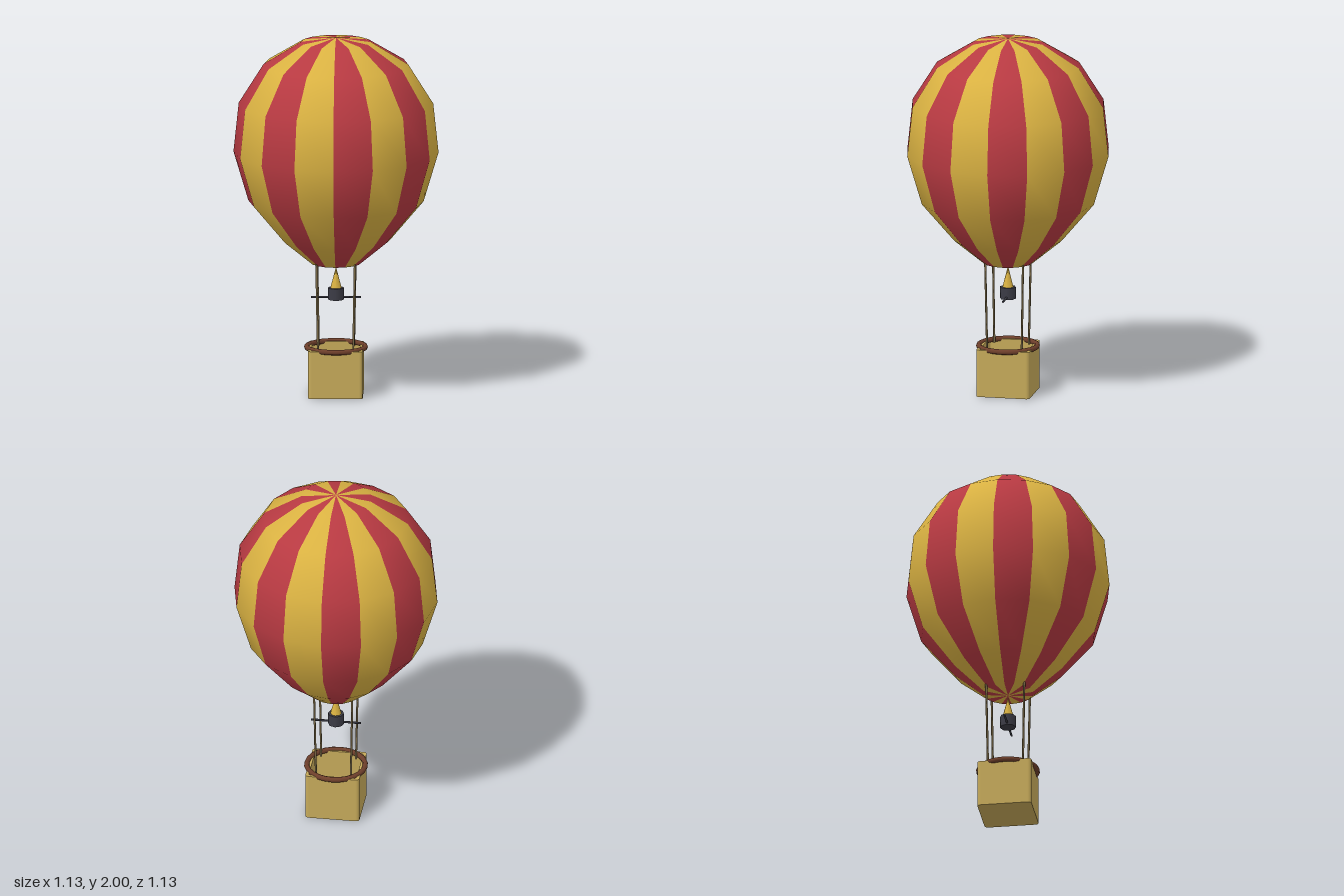
import * as THREE from 'three';

const mat = (name, color, side = THREE.FrontSide) => {
  const m = new THREE.MeshStandardMaterial({ color, side });
  m.name = name;
  return m;
};

// Square outline with rounded corners
function roundedSquare(Type, half, r) {
  const s = new Type();
  for (let i = 0; i < 4; i++) {
    const a = i * Math.PI / 2;
    const cx = (half - r) * (i === 0 || i === 3 ? 1 : -1);
    const cy = (half - r) * (i < 2 ? 1 : -1);
    s.absarc(cx, cy, r, a, a + Math.PI / 2, false);
  }
  s.closePath();
  return s;
}

export function createModel() {
  const group = new THREE.Group();
  const red = mat('red fabric', 0xb83a42);
  const yellow = mat('yellow fabric', 0xdab242);
  const wicker = mat('wicker', 0xc6aa5a);
  const brown = mat('leather brown', 0x6e3f2b);
  const rope = mat('rope', 0x7d6c48);
  const metal = mat('dark metal', 0x3c3c46);

  const add = (name, geometry, material, x = 0, y = 0, z = 0) => {
    const mesh = new THREE.Mesh(geometry, material);
    mesh.name = name;
    mesh.position.set(x, y, z);
    group.add(mesh);
    return mesh;
  };

  // Striped envelope: one material group per gore
  const profile = [
    [0, 0.722], [0.138, 0.735], [0.3, 0.868], [0.482, 1.083], [0.564, 1.358],
    [0.535, 1.632], [0.398, 1.85], [0.193, 1.975], [0, 2],
  ].map(([r, y]) => new THREE.Vector2(r, y));
  const gores = 16;
  const envelope = new THREE.LatheGeometry(profile, gores);
  const perGore = (profile.length - 1) * 6;
  envelope.clearGroups();
  for (let i = 0; i < gores; i++) envelope.addGroup(i * perGore, perGore, i % 2);
  add('envelope', envelope, [red, yellow]);

  // Open basket with rounded upright corners
  const wall = roundedSquare(THREE.Shape, 0.15, 0.02);
  wall.holes.push(roundedSquare(THREE.Path, 0.132, 0.012));
  const walls = new THREE.ExtrudeGeometry(wall, { depth: 0.265, bevelEnabled: false, curveSegments: 3 });
  add('basketWalls', walls.rotateX(-Math.PI / 2), wicker);
  const floor = new THREE.ExtrudeGeometry(roundedSquare(THREE.Shape, 0.14, 0.012),
    { depth: 0.02, bevelEnabled: false, curveSegments: 3 });
  add('basketFloor', floor.rotateX(-Math.PI / 2), wicker);

  // Round padded rim
  add('basketRim', new THREE.TorusGeometry(0.161, 0.015, 8, 24).rotateX(Math.PI / 2), brown, 0, 0.263, 0);

  // Four ropes, spreading slightly upwards
  const up = new THREE.Vector3(0, 1, 0);
  for (const sx of [-1, 1]) for (const sz of [-1, 1]) {
    const a = new THREE.Vector3(sx * 0.097, 0.25, sz * 0.097);
    const b = new THREE.Vector3(sx * 0.106, 0.755, sz * 0.106);
    const dir = b.clone().sub(a);
    const mesh = add('rope', new THREE.CylinderGeometry(0.006, 0.006, dir.length(), 6), rope);
    mesh.position.copy(a).add(b).multiplyScalar(0.5);
    mesh.quaternion.setFromUnitVectors(up, dir.normalize());
  }

  // Burner, its crossbar and the flame
  add('burner', new THREE.CylinderGeometry(0.044, 0.044, 0.066, 8), metal, 0, 0.562, 0);
  add('crossbar', new THREE.CylinderGeometry(0.006, 0.006, 0.275, 6).rotateZ(Math.PI / 2), metal, 0, 0.542, 0);
  add('flame', new THREE.ConeGeometry(0.031, 0.12, 8), yellow, 0, 0.653, 0);

  return group;
}
